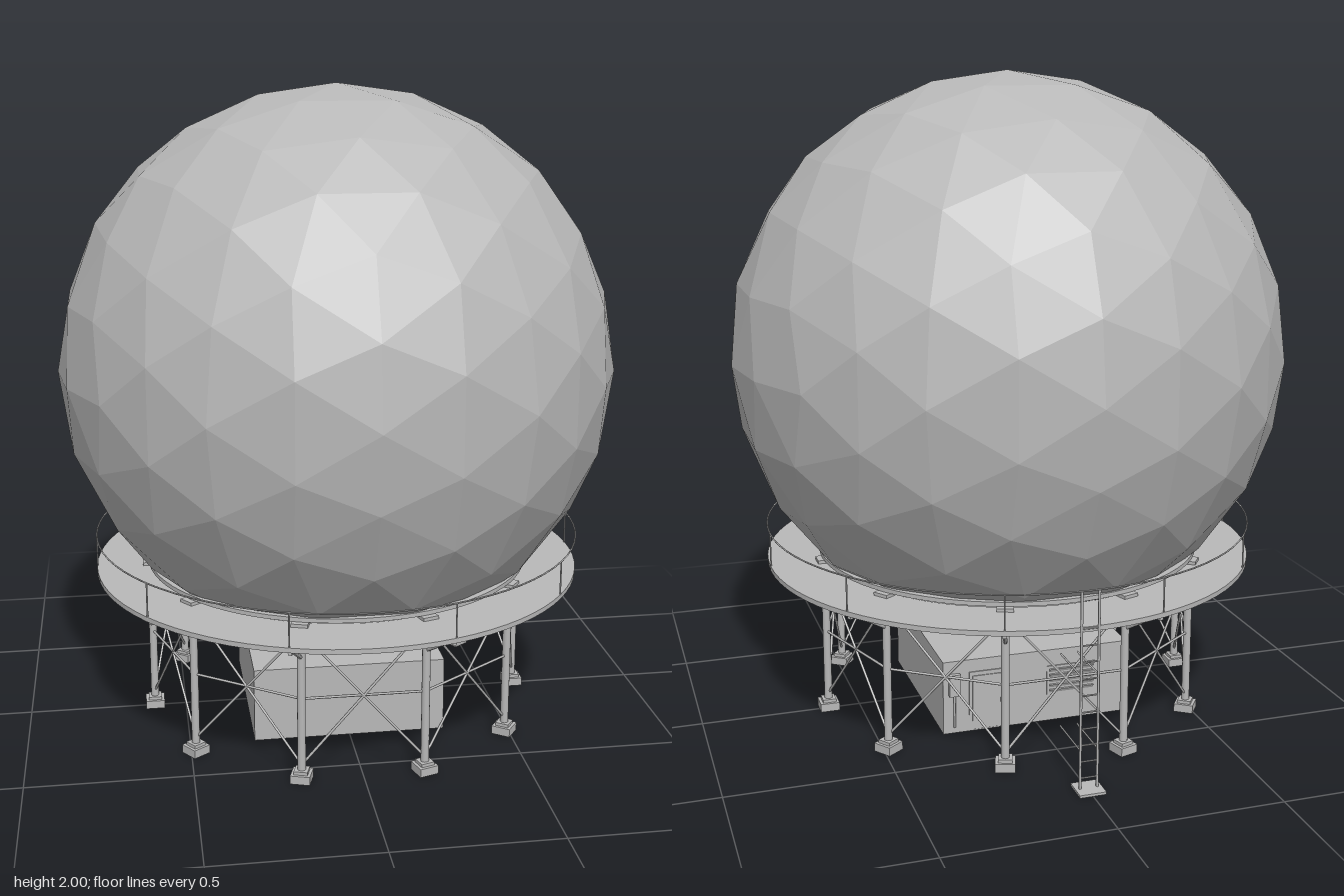
import * as THREE from 'three';

export function createModel() {
  const model = new THREE.Group();
  const grey = new THREE.MeshStandardMaterial({ color: 0xb8b8b8, side: THREE.DoubleSide });
  grey.name = 'light grey';
  const V = (x, y, z) => new THREE.Vector3(x, y, z);

  const add = (name, geometry, parent = model) => {
    const mesh = new THREE.Mesh(geometry, grey);
    mesh.name = name;
    parent.add(mesh);
    return mesh;
  };
  const box = (name, w, h, d, x, y, z, parent = model) => {
    const mesh = add(name, new THREE.BoxGeometry(w, h, d), parent);
    mesh.position.set(x, y, z);
    return mesh;
  };
  // Round bar between two points
  const bar = (name, a, b, r, parent = model, sides = 6) => {
    const mesh = add(name, new THREE.CylinderGeometry(r, r, a.distanceTo(b), sides), parent);
    mesh.position.copy(a).lerp(b, 0.5);
    mesh.quaternion.setFromUnitVectors(V(0, 1, 0), b.clone().sub(a).normalize());
    return mesh;
  };
  // Flat horizontal hoop
  const hoop = (name, r, tube, y) => {
    const mesh = add(name, new THREE.TorusGeometry(r, tube, 6, 80));
    mesh.rotation.x = Math.PI / 2;
    mesh.position.y = y;
  };
  const polar = (r, angle, y) => V(r * Math.cos(angle), y, r * Math.sin(angle));

  // Dome: faceted icosphere, split at edge midpoints and cut flat at the base
  const R = 0.865, CY = 1.135, CUT = 0.515;
  const out = [];
  const emit = (tri) => {
    const poly = [];
    tri.forEach((p, i) => {
      const q = tri[(i + 1) % 3];
      if (p.y >= CUT) poly.push(p);
      if ((p.y >= CUT) !== (q.y >= CUT)) poly.push(p.clone().lerp(q, (CUT - p.y) / (q.y - p.y)));
    });
    for (let i = 1; i + 1 < poly.length; i++) {
      for (const p of [poly[0], poly[i], poly[i + 1]]) out.push(p.x, p.y, p.z);
    }
  };
  const split = (a, b, c, depth) => {
    if (depth === 0) {
      emit([a, b, c].map((p) => V(p.x * R, p.y * R + CY, p.z * R)));
      return;
    }
    const mid = (p, q) => p.clone().add(q).normalize();
    const ab = mid(a, b), bc = mid(b, c), ca = mid(c, a);
    split(a, ab, ca, depth - 1);
    split(ab, b, bc, depth - 1);
    split(ca, bc, c, depth - 1);
    split(ab, bc, ca, depth - 1);
  };
  const ico = new THREE.IcosahedronGeometry(1, 0).getAttribute('position');
  const corner = (i) => new THREE.Vector3().fromBufferAttribute(ico, i).normalize();
  for (let i = 0; i < ico.count; i += 3) split(corner(i), corner(i + 1), corner(i + 2), 2);
  const domeGeometry = new THREE.BufferGeometry();
  domeGeometry.setAttribute('position', new THREE.Float32BufferAttribute(out, 3));
  domeGeometry.computeVertexNormals();
  add('dome', domeGeometry);

  // Ring-shaped deck and dome curb
  const ring = (name, outer, inner, y, height) => {
    const shape = new THREE.Shape().absarc(0, 0, outer, 0, Math.PI * 2);
    shape.holes.push(new THREE.Path().absarc(0, 0, inner, 0, Math.PI * 2, true));
    const mesh = add(name, new THREE.ExtrudeGeometry(shape, { depth: height, bevelEnabled: false, curveSegments: 40 }));
    mesh.rotation.x = -Math.PI / 2;
    mesh.position.y = y;
  };
  ring('deck', 0.77, 0.585, 0.48, 0.015);
  ring('domeCurb', 0.607, 0.585, 0.505, 0.013);
  hoop('topRail', 0.768, 0.0025, 0.6);

  // Ten bays of columns, bracing and railing
  const STEP = Math.PI / 5;
  for (let i = 0; i < 10; i++) {
    const a = i * STEP, b = a + STEP;
    const leg = new THREE.Group();
    leg.name = 'supportLeg';
    leg.rotation.y = -a;
    model.add(leg);
    box('footing', 0.06, 0.026, 0.06, 0.6, 0.013, 0, leg);
    box('basePlate', 0.042, 0.01, 0.042, 0.6, 0.031, 0, leg);
    bar('column', V(0.6, 0.03, 0), V(0.6, 0.48, 0), 0.0125, leg, 12);
    box('capPlate', 0.05, 0.01, 0.05, 0.6, 0.5, 0, leg);
    box('deckBeam', 0.18, 0.012, 0.012, 0.67, 0.474, 0, leg);
    bar('kneeBrace', V(0.605, 0.395, 0), V(0.74, 0.475, 0), 0.006, leg);
    bar('railPost', V(0.768, 0.49, 0), V(0.768, 0.6, 0), 0.0025, leg);

    bar('crossBrace', polar(0.6, a, 0.05), polar(0.6, b, 0.47), 0.004);
    bar('crossBrace', polar(0.6, b, 0.05), polar(0.6, a, 0.47), 0.004);
    bar('girt', polar(0.6, a, 0.262), polar(0.6, b, 0.262), 0.004);
  }

  // Equipment hut under the dome, with fittings on its back wall
  box('hut', 0.6, 0.235, 0.6, 0, 0.1175, 0);
  box('doorFrame', 0.125, 0.19, 0.004, 0.155, 0.1, -0.302);
  box('door', 0.105, 0.175, 0.008, 0.155, 0.095, -0.303);
  box('doorHandle', 0.006, 0.014, 0.008, 0.115, 0.095, -0.31);
  box('ventFrame', 0.16, 0.095, 0.004, -0.115, 0.135, -0.302);
  for (let i = 0; i < 5; i++) {
    const slat = box('ventSlat', 0.145, 0.011, 0.004, -0.115, 0.101 + i * 0.017, -0.306);
    slat.rotation.x = -0.5;
  }
  box('switchBox', 0.035, 0.07, 0.014, 0.265, 0.16, -0.307);
  bar('conduit', V(0.265, 0.02, -0.304), V(0.265, 0.13, -0.304), 0.004);

  // Access ladder at the back
  const ladder = new THREE.Group();
  ladder.name = 'ladder';
  model.add(ladder);
  for (const x of [-0.026, 0.026]) {
    bar('ladderRail', V(x, 0.005, -0.77), V(x, 0.6, -0.77), 0.004, ladder);
    bar('upperStandoff', V(x, 0.35, -0.77), V(x, 0.35, -0.6), 0.003, ladder);
    bar('lowerStandoff', V(x, 0.125, -0.77), V(x, 0.125, -0.6), 0.0025, ladder);
  }
  for (let y = 0.04; y < 0.49; y += 0.05) bar('rung', V(-0.026, y, -0.77), V(0.026, y, -0.77), 0.0025, ladder);
  box('ladderPad', 0.08, 0.008, 0.08, 0, 0.004, -0.77, ladder);

  return model;
}
